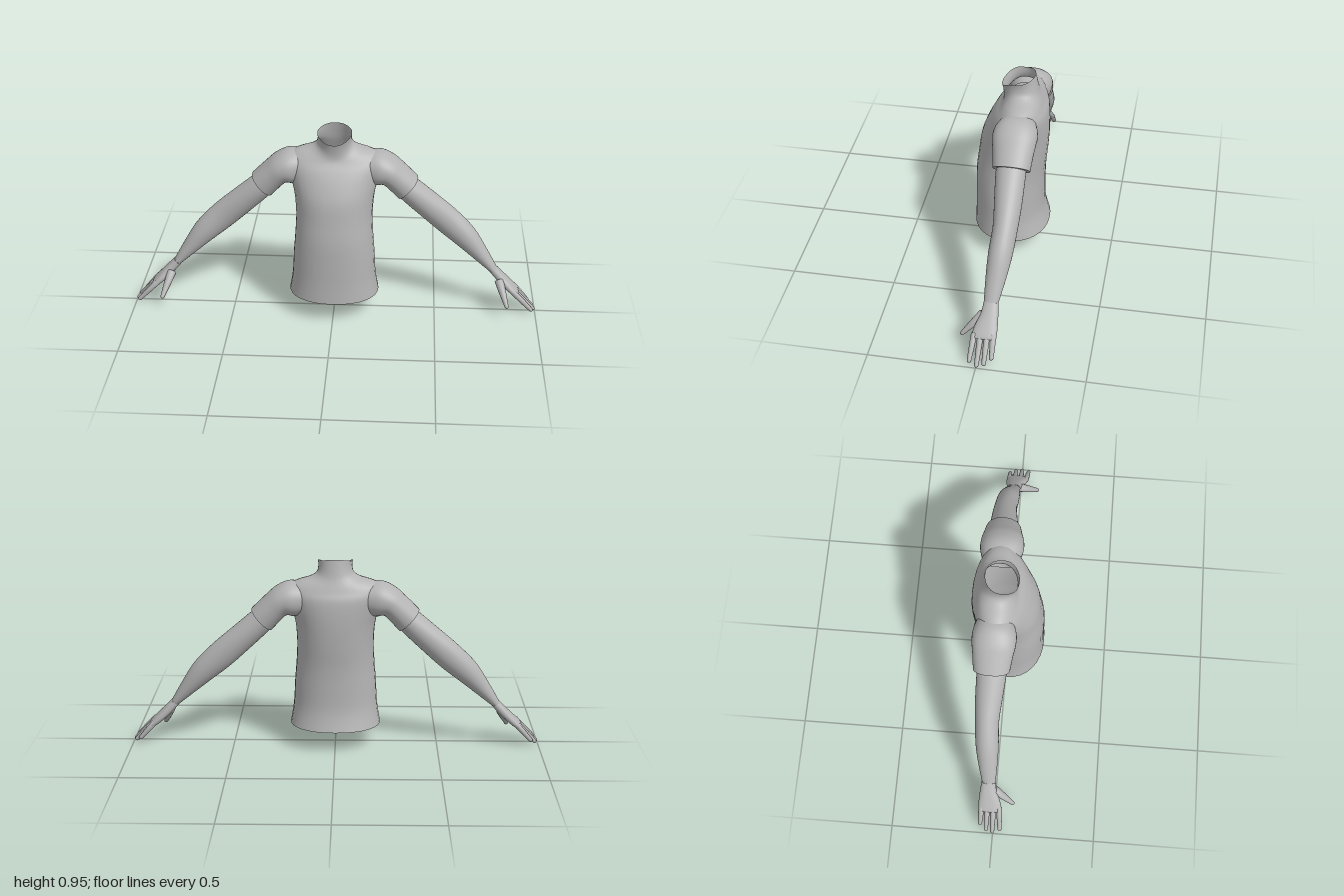
import * as THREE from 'three';

const SEG = 32;
const skin = new THREE.MeshStandardMaterial({ color: 0xb4b4b4, side: THREE.DoubleSide });
skin.name = 'plain grey';

// Catmull-Rom interpolation of every column in a table of cross-sections
function smooth(rows, steps) {
  const out = [];
  const at = (i) => rows[Math.min(Math.max(i, 0), rows.length - 1)];
  for (let i = 0; i < rows.length - 1; i++) {
    for (let k = 0; k < steps; k++) {
      const t = k / steps;
      out.push(rows[i].map((b, j) => {
        const a = at(i - 1)[j], c = at(i + 1)[j], d = at(i + 2)[j];
        return b + 0.5 * t * (c - a + t * (2 * a - 5 * b + 4 * c - d + t * (3 * (b - c) + d - a)));
      }));
    }
  }
  out.push(rows[rows.length - 1]);
  return out;
}

// Skin joining closed rings of SEG points
function loft(rings) {
  const index = [];
  for (let i = 0; i < rings.length - 1; i++) {
    for (let j = 0; j < SEG; j++) {
      const a = i * SEG + j, b = i * SEG + (j + 1) % SEG;
      index.push(a, a + SEG, b, b, a + SEG, b + SEG);
    }
  }
  const geometry = new THREE.BufferGeometry();
  geometry.setAttribute('position', new THREE.Float32BufferAttribute(rings.flat(2), 3));
  geometry.setIndex(index);
  geometry.computeVertexNormals();
  return geometry;
}

function ring(fullness, place) {
  const soft = (v) => Math.sign(v) * Math.abs(v) ** fullness;
  return Array.from({ length: SEG }, (_, j) => {
    const a = (j / SEG) * Math.PI * 2;
    return place(soft(Math.cos(a)), soft(Math.sin(a)));
  });
}

// Torso section: side height, half width, front z, back z, front height, back height
const torsoRing = ([y, w, zf, zb, yf, yb]) => ring(0.92, (c, s) => [
  w * c,
  y + ((s > 0 ? yf : yb) - y) * s * s,
  (zf + zb) / 2 + ((zf - zb) / 2) * s,
]);

// Limb section: upper x, y, lower x, y, front z, back z
const limbRing = (fullness) => ([tx, ty, bx, by, zf, zb]) => ring(fullness, (c, s) => [
  (tx + bx) / 2 + ((tx - bx) / 2) * c,
  (ty + by) / 2 + ((ty - by) / 2) * c,
  (zf + zb) / 2 - ((zf - zb) / 2) * s,
]);

// Same outline shrunk towards its centre
function shrink(points, k) {
  const mid = [0, 1, 2].map((n) => points.reduce((sum, p) => sum + p[n], 0) / SEG);
  return points.map((p) => p.map((v, n) => mid[n] + (v - mid[n]) * k));
}

function add(parent, name, geometry) {
  const mesh = new THREE.Mesh(geometry, skin);
  mesh.name = name;
  parent.add(mesh);
  return mesh;
}

// Tapered, round-tipped finger from one point to another
function digit(parent, name, from, to, r0, r1) {
  const a = new THREE.Vector3(...from), dir = new THREE.Vector3(...to).sub(a);
  const len = dir.length();
  const profile = [[0.001, 0], [r0, 0.004], [(r0 + r1) * 0.52, len * 0.5], [r1, len - r1]];
  for (let i = 1; i <= 4; i++) {
    const t = (i / 4) * Math.PI / 2;
    profile.push([Math.max(r1 * Math.cos(t), 0), len - r1 + r1 * Math.sin(t)]);
  }
  const mesh = add(parent, name, new THREE.LatheGeometry(profile.map((p) => new THREE.Vector2(...p)), 12));
  mesh.position.copy(a);
  mesh.quaternion.setFromUnitVectors(new THREE.Vector3(0, 1, 0), dir.normalize());
}

function createArm() {
  const arm = new THREE.Group();

  // Short sleeve with a turned-in hem
  const sleeve = smooth([
    [0.12, 0.815, 0.15, 0.67, 0.03, -0.13],
    [0.215, 0.829, 0.195, 0.66, 0.055, -0.15],
    [0.285, 0.80, 0.23, 0.665, 0.056, -0.15],
    [0.34, 0.752, 0.262, 0.637, 0.046, -0.144],
    [0.402, 0.692, 0.305, 0.59, 0.036, -0.138],
  ], 5).map(limbRing(0.92));
  const hem = sleeve[sleeve.length - 1];
  add(arm, 'sleeve', loft(sleeve));
  add(arm, 'sleeveHem', loft([hem, shrink(hem, 0.75)]));

  // Upper arm, elbow and forearm
  add(arm, 'bareArm', loft(smooth([
    [0.345, 0.722, 0.27, 0.635, 0.02, -0.12],
    [0.412, 0.668, 0.328, 0.575, 0.02, -0.12],
    [0.50, 0.595, 0.42, 0.489, 0.01, -0.12],
    [0.595, 0.514, 0.512, 0.406, 0.0, -0.115],
    [0.685, 0.42, 0.607, 0.331, 0.005, -0.106],
    [0.75, 0.316, 0.69, 0.264, 0.004, -0.088],
    [0.803, 0.222, 0.768, 0.2, 0.0, -0.067],
  ], 4).map(limbRing(1))));

  // Palm
  const palm = smooth([
    [0.803, 0.222, 0.768, 0.2, 0.0, -0.067],
    [0.84, 0.185, 0.806, 0.156, 0.008, -0.073],
    [0.878, 0.146, 0.85, 0.115, 0.028, -0.077],
    [0.91, 0.112, 0.887, 0.087, 0.038, -0.077],
    [0.916, 0.1, 0.9, 0.085, 0.034, -0.073],
  ], 4).map(limbRing(0.85));
  const knuckles = palm[palm.length - 1];
  add(arm, 'palm', loft(palm));
  add(arm, 'knuckles', loft([knuckles, shrink(knuckles, 0)]));

  // Fingers and thumb
  [
    ['indexFinger', 0.025, 0.986, 0.014, 0.034],
    ['middleFinger', -0.004, 0.998, 0.002, -0.002],
    ['ringFinger', -0.034, 0.99, 0.008, -0.034],
    ['littleFinger', -0.062, 0.966, 0.025, -0.065],
  ].forEach(([name, z0, x, y, z]) => digit(arm, name, [0.888, 0.112, z0], [x, y, z], 0.0145, 0.01));
  digit(arm, 'thumb', [0.815, 0.165, -0.005], [0.857, 0.059, 0.095], 0.023, 0.01);
  return arm;
}

export function createModel() {
  const model = new THREE.Group();
  model.name = 'upperBody';

  // Shirt body, shoulders and open neck
  const torso = smooth([
    [0.105, 0.22, 0.185, -0.183, 0.105, 0.105],
    [0.2, 0.205, 0.181, -0.16, 0.2, 0.2],
    [0.32, 0.198, 0.18, -0.156, 0.32, 0.32],
    [0.42, 0.19, 0.177, -0.158, 0.42, 0.42],
    [0.52, 0.186, 0.164, -0.167, 0.52, 0.52],
    [0.62, 0.193, 0.148, -0.173, 0.62, 0.62],
    [0.7, 0.212, 0.116, -0.172, 0.7, 0.7],
    [0.77, 0.228, 0.084, -0.165, 0.755, 0.755],
    [0.81, 0.22, 0.06, -0.15, 0.785, 0.79],
    [0.835, 0.18, 0.05, -0.14, 0.8, 0.815],
    [0.853, 0.12, 0.045, -0.13, 0.815, 0.84],
    [0.872, 0.09, 0.044, -0.122, 0.835, 0.865],
    [0.9, 0.081, 0.047, -0.113, 0.862, 0.905],
    [0.927, 0.083, 0.053, -0.105, 0.89, 0.945],
  ], 4).map(torsoRing);
  add(model, 'torso', loft(torso));
  add(model, 'waistCap', loft([shrink(torso[0], 0), torso[0]]));

  // Arms, mirrored
  for (const side of [1, -1]) {
    const arm = createArm();
    arm.name = side > 0 ? 'leftArm' : 'rightArm';
    arm.scale.x = side;
    model.add(arm);
  }
  return model;
}
